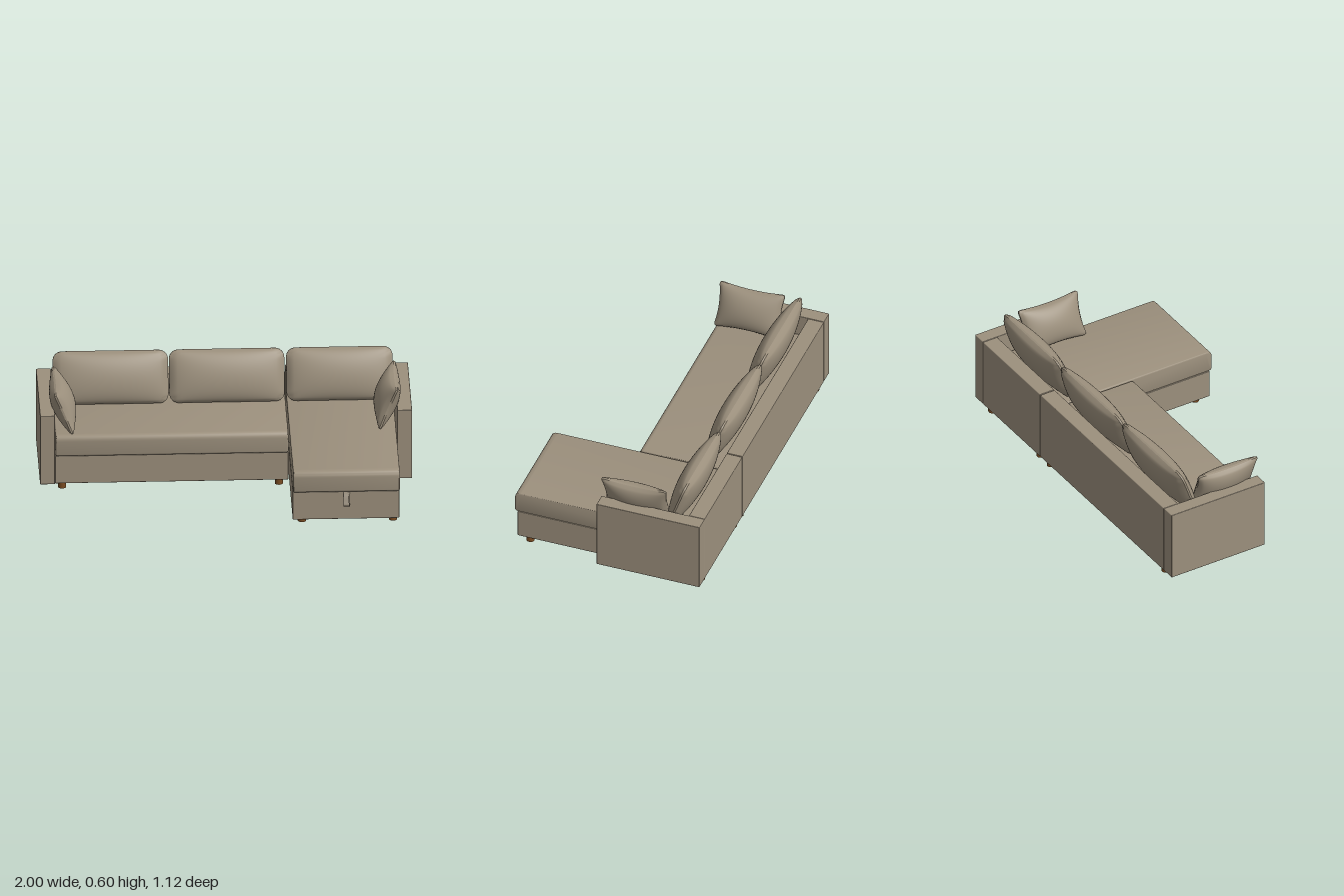
import * as THREE from 'three';
import { toCreasedNormals } from 'three/addons/utils/BufferGeometryUtils.js';
import { RoundedBoxGeometry } from 'three/addons/geometries/RoundedBoxGeometry.js';

const fabric = new THREE.MeshStandardMaterial({ color: 0x9c907d });
fabric.name = 'taupe fabric';
const wood = new THREE.MeshStandardMaterial({ color: 0x7a4c22 });
wood.name = 'brown wood';
const strapCloth = new THREE.MeshStandardMaterial({ color: 0x8a7f6e, side: THREE.DoubleSide });
strapCloth.name = 'strap cloth';

export function createModel() {
  const group = new THREE.Group();

  function add(name, geometry, material, x = 0, y = 0, z = 0) {
    const mesh = new THREE.Mesh(geometry, material);
    mesh.name = name;
    mesh.position.set(x, y, z);
    group.add(mesh);
    return mesh;
  }

  // Upholstered block given by its limits
  function block(name, x0, x1, y0, y1, z0, z1, r = 0.004) {
    const g = new RoundedBoxGeometry(x1 - x0, y1 - y0, z1 - z0, 2, r);
    add(name, g, fabric, (x0 + x1) / 2, (y0 + y1) / 2, (z0 + z1) / 2);
  }

  // Seat cushion: side profile with a soft front edge, extruded across
  function seat(name, x0, x1, z0, z1) {
    const y0 = 0.2, y1 = 0.325, b = 0.007, r = 0.03, s = 0.008;
    const zb = z0 + b, zf = z1 - b, yb = y0 + b, yt = y1 - b;
    const p = new THREE.Shape();
    p.moveTo(zb, yb);
    p.lineTo(zf - s, yb);
    p.quadraticCurveTo(zf, yb, zf, yb + s);
    p.lineTo(zf, yt - r);
    p.quadraticCurveTo(zf, yt, zf - r, yt - 0.002);
    p.lineTo(zb, yt);
    const depth = x1 - x0 - 2 * b;
    const g = new THREE.ExtrudeGeometry(p, {
      depth, bevelSize: b, bevelThickness: b, bevelSegments: 3, curveSegments: 8,
    });
    g.translate(0, 0, -depth / 2).rotateY(-Math.PI / 2);
    add(name, toCreasedNormals(g, 0.6), fabric, (x0 + x1) / 2, 0, 0);
  }

  // Stuffed cushion: a box bulged on both faces, with a narrow seam band
  function cushionGeometry(w, h, bulge, r, pinch, power) {
    const g = new THREE.BoxGeometry(2, 2, 2, 28, 28, 1);
    const pos = g.attributes.position;
    for (let i = 0; i < pos.count; i++) {
      const u = pos.getX(i), v = pos.getY(i), side = pos.getZ(i);
      let x = u * w, y = v * h;
      // Round the corners of the outline
      const qx = THREE.MathUtils.clamp(x, r - w, w - r);
      const qy = THREE.MathUtils.clamp(y, r - h, h - r);
      const dx = x - qx, dy = y - qy, len = Math.hypot(dx, dy);
      if (len > 0) {
        const k = Math.max(Math.abs(dx), Math.abs(dy)) / len;
        x = qx + dx * k;
        y = qy + dy * k;
      }
      // Pull the edges in between the corners
      x *= 1 - pinch * (1 - v * v);
      y *= 1 - pinch * 1.4 * (1 - u * u);
      const puff = Math.pow(Math.max(0, (1 - u * u) * (1 - v * v)), power);
      pos.setXYZ(i, x, y, side * (0.005 + bulge * puff));
    }
    g.computeVertexNormals();
    return g;
  }

  // Arms
  block('rightArm', -1, -0.92, 0.035, 0.442, -0.56, 0.03);
  block('leftArm', 0.92, 1, 0.035, 0.442, -0.56, 0.03);

  // Backrests and bases of the two sections
  block('sofaBackrest', -0.919, 0.335, 0.035, 0.441, -0.56, -0.47);
  block('chaiseBackrest', 0.339, 0.919, 0.035, 0.441, -0.56, -0.47);
  block('sofaBase', -0.919, 0.335, 0.035, 0.199, -0.475, 0.02);
  block('chaiseBase', 0.339, 0.912, 0.035, 0.199, -0.475, 0.515);

  // Seat cushions
  seat('sofaSeatCushion', -0.916, 0.334, -0.47, 0.035);
  seat('chaiseSeatCushion', 0.341, 0.914, -0.47, 0.53);

  // Back cushions, leaning on the backrest
  for (const [x0, x1] of [[-0.915, -0.295], [-0.29, 0.33], [0.34, 0.912]]) {
    const g = cushionGeometry((x1 - x0) / 2, 0.144, 0.066, 0.05, 0, 0.5);
    add('backCushion', g, fabric, (x0 + x1) / 2, 0.464, -0.392).rotation.x = -0.34;
  }

  // Throw pillows against the arms
  for (const side of [-1, 1]) {
    const g = cushionGeometry(0.19, 0.128, 0.058, 0.022, 0.08, 0.55);
    g.rotateY(Math.PI / 2).rotateZ(-side * 0.38);
    add(side < 0 ? 'rightThrowPillow' : 'leftThrowPillow', g, fabric, side * 0.872, 0.447, -0.153);
  }

  // Legs
  const legSpots = [
    [-0.88, -0.525], [0.285, -0.525], [0.39, -0.525], [0.88, -0.525],
    [-0.88, -0.012], [0.285, -0.012], [0.88, -0.012],
    [0.39, 0.452], [0.88, 0.452],
  ];
  const legGeometry = new THREE.CylinderGeometry(0.022, 0.022, 0.038, 24);
  for (const [x, z] of legSpots) add('leg', legGeometry, wood, x, 0.019, z);

  // Pull strap: a flat ribbon looped below the chaise cushion
  const loop = new THREE.CatmullRomCurve3([
    [0.512, 0.198], [0.53, 0.185], [0.55, 0.155], [0.56, 0.135],
    [0.552, 0.128], [0.538, 0.138], [0.53, 0.165], [0.522, 0.19], [0.512, 0.196],
  ].map(([z, y]) => new THREE.Vector3(0, y, z)));
  const ribbon = new THREE.PlaneGeometry(1, 1, 1, 40);
  const rp = ribbon.attributes.position;
  for (let i = 0; i < rp.count; i++) {
    const t = THREE.MathUtils.clamp(rp.getY(i) + 0.5, 0, 1);
    const c = loop.getPoint(t);
    const width = 0.022 + 0.012 * Math.sin(Math.PI * t);
    rp.setXYZ(i, rp.getX(i) * width + 0.012 * (t - 0.5), c.y, c.z);
  }
  ribbon.computeVertexNormals();
  add('pullStrap', ribbon, strapCloth, 0.628, 0, 0);

  return group;
}
